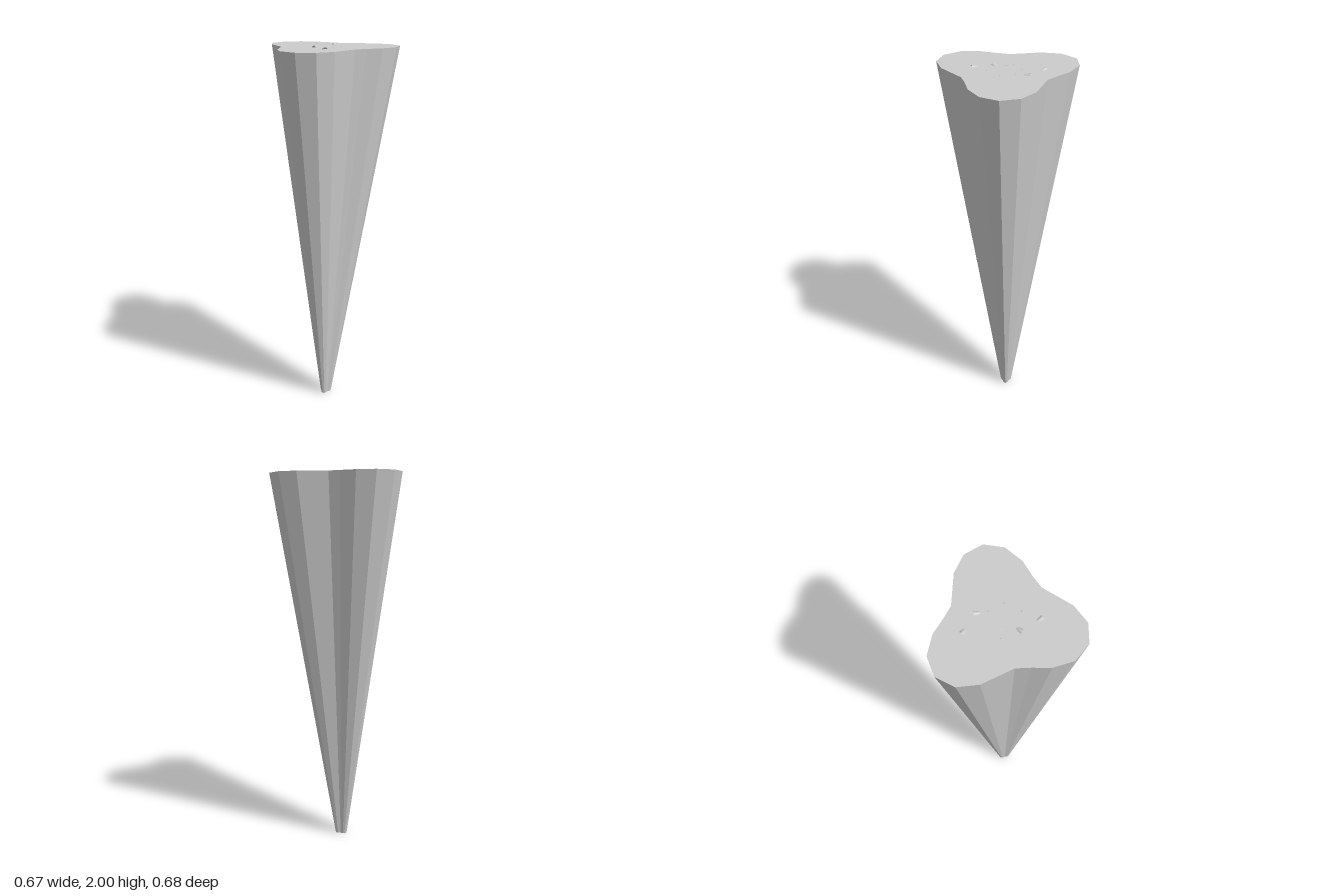
import * as THREE from 'three';

const TOP = 1.99;
const FOOT = { x: 0.03, z: -0.02, scale: 0.09 };

// Three-lobed rim of the body as x, z pairs
const RIM = [
  [-0.338, -0.127], [-0.331, -0.028], [-0.268, 0.051], [-0.132, 0.133], [-0.093, 0.189],
  [-0.048, 0.262], [0.028, 0.326], [0.127, 0.338], [0.21, 0.284], [0.247, 0.192],
  [0.25, 0.032], [0.275, -0.026], [0.318, -0.106], [0.335, -0.207], [0.297, -0.297],
  [0.209, -0.34], [0.109, -0.326], [-0.03, -0.248], [-0.093, -0.243], [-0.183, -0.24],
  [-0.279, -0.205],
];

// Lobed prism, tapered down to a small foot
function bodyGeometry() {
  const shape = new THREE.Shape(RIM.map(([x, z]) => new THREE.Vector2(x, z)));
  const geo = new THREE.ExtrudeGeometry(shape, { depth: TOP, bevelEnabled: false });
  geo.rotateX(Math.PI / 2).translate(0, TOP, 0);
  const p = geo.attributes.position;
  for (let i = 0; i < p.count; i++) {
    const t = p.getY(i) / TOP;
    const low = 1 - t;
    const s = FOOT.scale * low + t;
    p.setX(i, p.getX(i) * s + FOOT.x * low);
    p.setZ(i, p.getZ(i) * s + FOOT.z * low);
  }
  geo.computeVertexNormals();
  return geo;
}

export function createModel() {
  const group = new THREE.Group();
  const grey = new THREE.MeshStandardMaterial({ color: 0xcccccc, flatShading: true });
  const smooth = new THREE.MeshStandardMaterial({ color: 0xcccccc, side: THREE.DoubleSide });

  const body = new THREE.Mesh(bodyGeometry(), grey);
  body.name = 'taperedBody';
  group.add(body);

  // Half-sunk stubs: wide open end raised, narrow end dipping into the top
  const profile = [[0.0135, 0], [0.0128, 0.012], [0.0108, 0.024], [0.0075, 0.036], [0.003, 0.044]]
    .map(([r, y]) => new THREE.Vector2(r, y));
  const stubGeo = new THREE.LatheGeometry(profile, 20);
  const stubs = [
    [-0.12, -0.138, -0.082, -0.138], [-0.012, -0.149, 0.017, -0.117],
    [0.028, 0.073, 0.028, 0.036], [0.13, 0.111, 0.088, 0.093],
  ];
  for (const [x, z, tx, tz] of stubs) {
    const stub = new THREE.Mesh(stubGeo, smooth);
    const dir = new THREE.Vector3(tx - x, 0, tz - z).normalize();
    dir.y = -0.15;
    stub.quaternion.setFromUnitVectors(new THREE.Vector3(0, 1, 0), dir.normalize());
    stub.position.set(x, TOP - 0.004, z);
    stub.name = 'stub';
    group.add(stub);
  }

  // Tiny bumps barely breaking the top surface
  const bumps = [
    [0.032, -0.1], [-0.033, -0.068], [0.1, -0.066], [-0.048, 0.012], [0.108, 0.021],
  ].map((b) => [...b, 0.003]);
  const arc = [[-0.013, -0.013], [-0.015, -0.002], [-0.01, 0.014], [0, 0.021]]
    .map((b) => [...b, 0.0015]);
  for (const [x, z, r] of [...bumps, ...arc]) {
    const bump = new THREE.Mesh(new THREE.SphereGeometry(r, 8, 6), smooth);
    bump.position.set(x, TOP, z);
    bump.name = 'bump';
    group.add(bump);
  }
  return group;
}
